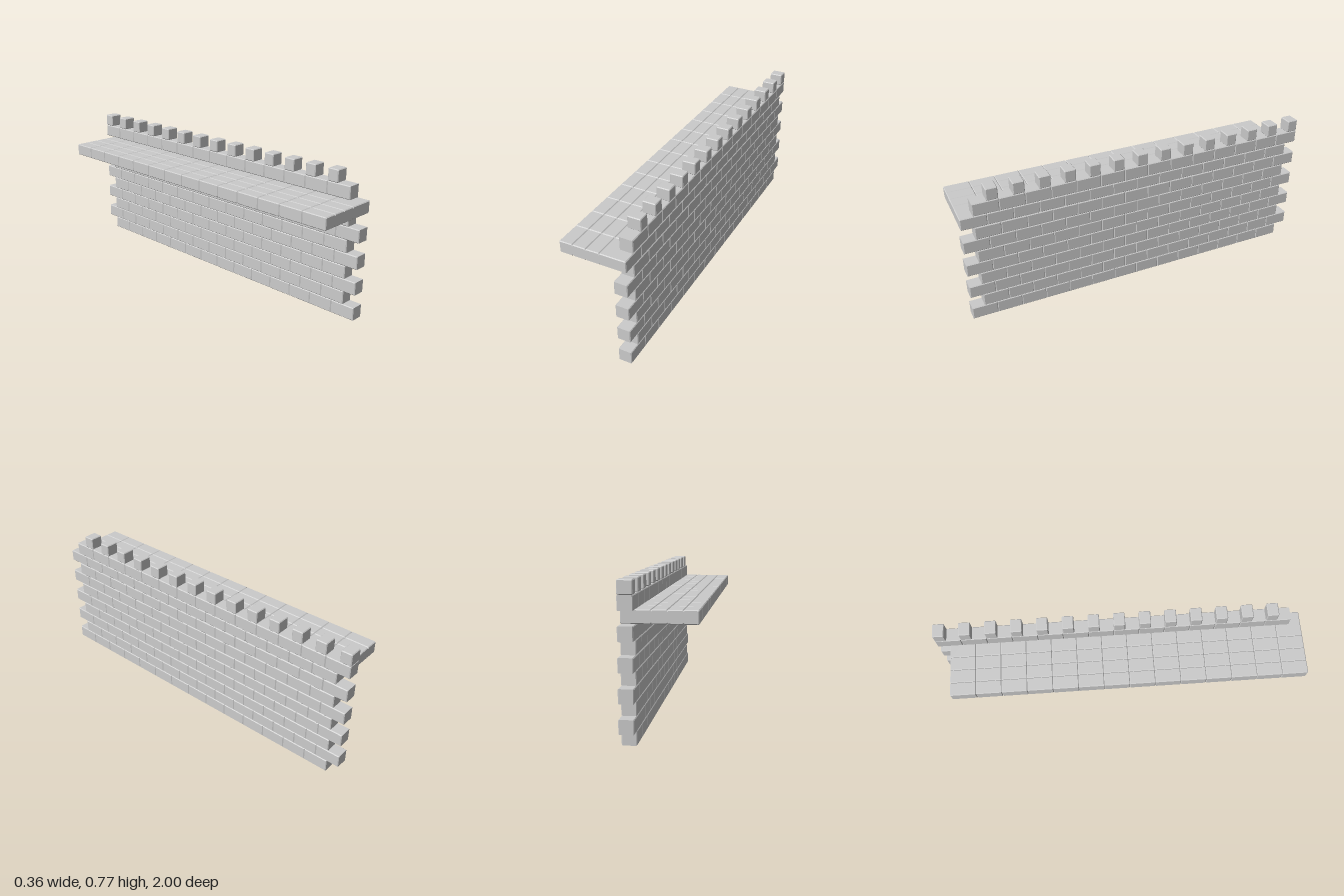
import * as THREE from 'three';

const COUNT = 14, PITCH = 1.932 / COUNT, ROW = 0.0708, CH = 0.004;
const WALL_X = 0.143, WALL_W = 0.074;

// Extruded outline, centred on its depth, with chamfered end caps
function bevelled(points, depth) {
  const shape = new THREE.Shape(points.map(([x, y]) => new THREE.Vector2(x, y)));
  const geo = new THREE.ExtrudeGeometry(shape, {
    depth: depth - 2 * CH, bevelEnabled: true, bevelSegments: 1,
    bevelThickness: CH, bevelSize: CH, bevelOffset: -CH,
  });
  return geo.translate(0, 0, -depth / 2 + CH);
}

function createModel() {
  const model = new THREE.Group();
  const material = new THREE.MeshStandardMaterial({ color: 0xcccccc, flatShading: true });

  // Lays one row of equal pieces along z
  function course(name, geo, x, y, firstZ) {
    const row = new THREE.Group();
    row.name = name;
    for (let i = 0; i < COUNT; i++) {
      const mesh = new THREE.Mesh(geo, material);
      mesh.name = name + 'Block';
      mesh.position.set(x, y, firstZ - i * PITCH);
      row.add(mesh);
    }
    model.add(row);
  }

  // Wall bricks: chamfered round both wall faces, flat where they meet
  const l = PITCH / 2, h = ROW / 2;
  const brick = bevelled([[-l, -h], [l, -h], [l, h], [-l, h]], WALL_W).rotateY(Math.PI / 2);
  const shift = PITCH / 2 - 0.001;
  for (let r = 0; r < 10; r++) {
    if (r === 8) continue; // the walkway takes this course
    const y = r < 8 ? (r + 0.5) * ROW : 0.67;
    course('brickCourse', brick, WALL_X, y, 1 - l - (r % 2 ? shift : 0));
  }

  // Walkway slabs: run through the wall, scored into paving above and below
  const x0 = -0.18, x1 = 0.18, half = 0.033;
  const bottom = [[x0 + CH, -half]];
  for (const x of [-0.108, -0.035, 0.038]) {
    bottom.push([x - 0.004, -half], [x, -half + 0.004], [x + 0.004, -half]);
  }
  bottom.push([x1 - CH, -half], [x1, -half + CH]);
  const top = bottom.map(([x, y]) => [x, -y]).reverse();
  const slab = bevelled([[x0, -half + CH], ...bottom, ...top, [x0, half - CH]], PITCH);
  course('walkway', slab, 0, 0.601, 1 - l);

  // Battlements: small blocks chamfered on every edge
  const a = 0.031, b = 0.034;
  const merlon = bevelled([
    [-a + CH, -b], [a - CH, -b], [a, -b + CH], [a, b - CH],
    [a - CH, b], [-a + CH, b], [-a, b - CH], [-a, -b + CH],
  ], WALL_W).rotateY(Math.PI / 2);
  course('battlement', merlon, WALL_X, 0.7395, -1 + a + (COUNT - 1) * PITCH);

  return model;
}

export { createModel };
